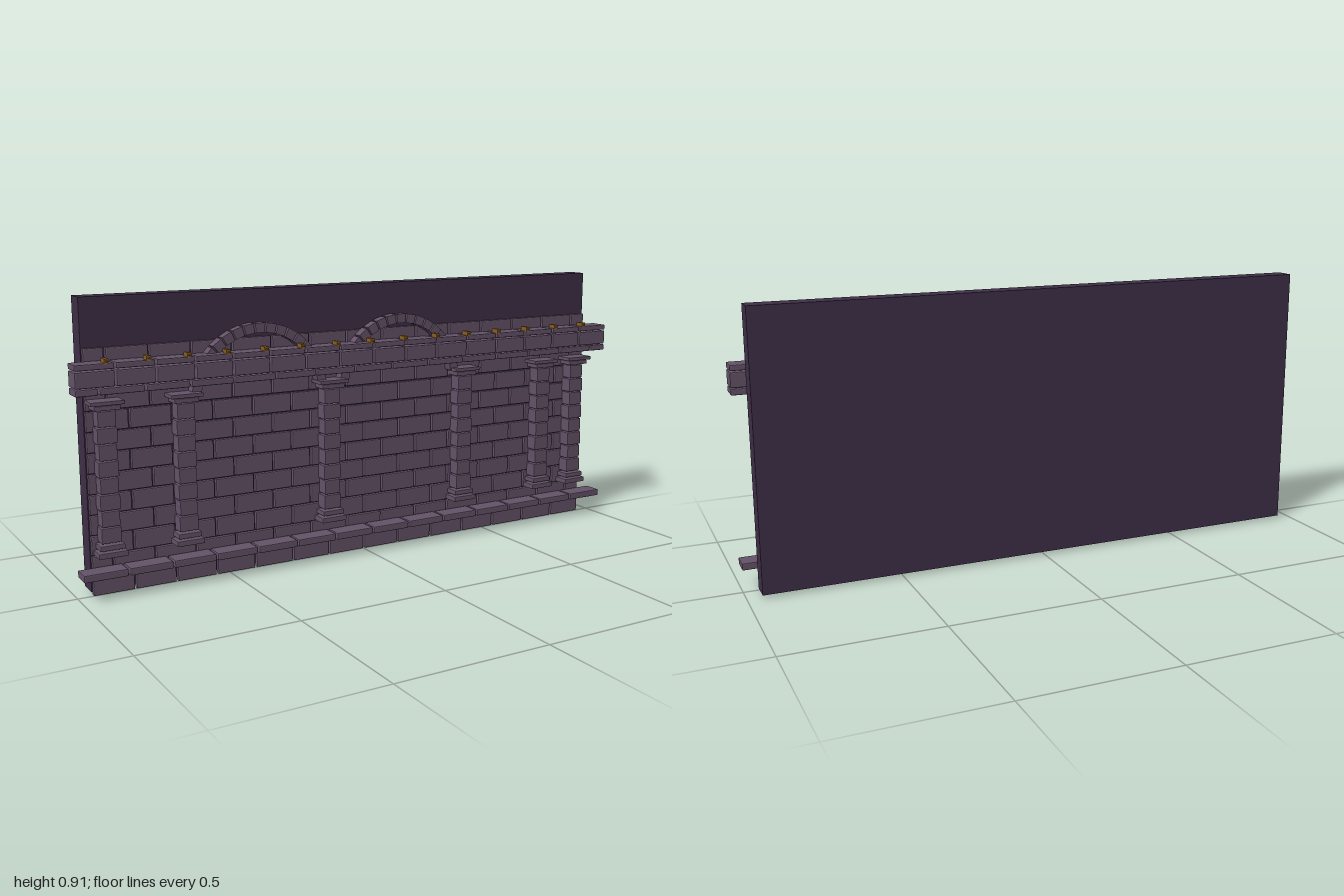
import * as THREE from 'three';
import { RoundedBoxGeometry } from 'three/addons/geometries/RoundedBoxGeometry.js';
import { mergeGeometries } from 'three/addons/utils/BufferGeometryUtils.js';

const mortar = new THREE.MeshStandardMaterial({ name: 'dark mortar', color: 0x3f2f47 });
const stone = new THREE.MeshStandardMaterial({ name: 'purple stone', color: 0x655369 });
const brass = new THREE.MeshStandardMaterial({ name: 'brass', color: 0x8a5f22 });

// Chamfered block given by its extents
function block(x0, x1, y0, y1, z0, z1, chamfer = 0.003) {
  const g = new RoundedBoxGeometry(x1 - x0, y1 - y0, z1 - z0, 1, chamfer).toNonIndexed();
  g.computeVertexNormals();
  return g.translate((x0 + x1) / 2, (y0 + y1) / 2, (z0 + z1) / 2);
}

function part(name, geometries, material) {
  const mesh = new THREE.Mesh(mergeGeometries(geometries), material);
  mesh.name = name;
  return mesh;
}

// Row of blocks between two ends, split at regular joints
function course(xMin, xMax, pitch, shift, y0, y1, z0, z1) {
  const out = [], gap = 0.003;
  for (let a = xMin - shift; a < xMax - 0.02; a += pitch) {
    const l = Math.max(a, xMin), r = Math.min(a + pitch, xMax);
    if (r - l > 0.02) out.push(block(l + gap, r - gap, y0, y1, z0, z1));
  }
  return out;
}

// Square column with stepped foot, stacked shaft and stepped capital
function column(x) {
  const at = (half, y0, y1, z1) => block(x - half, x + half, y0, y1, 0.003, z1, 0.002);
  const out = [at(0.045, 0.13, 0.147, 0.059), at(0.038, 0.152, 0.168, 0.054)];
  for (let i = 0; i < 8; i++) {
    const y = 0.173 + i * 0.0507;
    out.push(at(i % 2 ? 0.028 : 0.031, y, y + 0.047, 0.047));
  }
  out.push(at(0.04, 0.579, 0.593, 0.057), at(0.052, 0.595, 0.607, 0.064));
  return part('column', out, stone);
}

// Ring of wedge stones springing from behind the cornice
function arch(cx) {
  const out = [], count = 17, cy = 0.57, outer = 0.236, inner = 0.205;
  const start = 0.13, step = (Math.PI - 2 * start) / count;
  for (let i = 0; i < count; i++) {
    const a = start + i * step + 0.012, b = start + (i + 1) * step - 0.012;
    const s = new THREE.Shape([[outer, a], [outer, b], [inner, b], [inner, a]]
      .map(([r, t]) => new THREE.Vector2(cx + r * Math.cos(t), cy + r * Math.sin(t))));
    out.push(new THREE.ExtrudeGeometry(s, { depth: 0.033, bevelEnabled: false }).translate(0, 0, 0.005));
  }
  return part('arch', out, stone);
}

export function createModel() {
  const model = new THREE.Group();

  // Backing slab
  const slab = new THREE.BoxGeometry(1.906, 0.898, 0.065).translate(0, 0.459, -0.0425);
  model.add(part('backingSlab', [slab], mortar));

  // Running-bond brick face
  const bricks = [];
  for (let row = 0; row < 12; row++) {
    const y = row * 0.0635;
    bricks.push(...course(-0.953, 0.953, 0.1365, row % 2 ? 0.068 : 0, y, y + 0.0595, -0.014, 0.003));
  }
  model.add(part('brickFace', bricks, stone));

  // Projecting ledge and three-tier cornice
  model.add(part('ledge', course(-1, 1, 0.1429, 0, 0.069, 0.092, 0.006, 0.07), stone));
  model.add(part('cornice', [
    ...course(-1, 1, 0.1429, 0.07, 0.628, 0.648, 0.006, 0.07),
    ...course(-1, 1, 0.125, 0, 0.651, 0.699, 0.006, 0.07),
    ...course(-1, 1, 0.125, 0, 0.703, 0.721, 0.006, 0.07),
  ], stone));

  // Columns and arches
  for (const x of [-0.9, -0.652, -0.144, 0.385, 0.733, 0.888]) model.add(column(x));
  for (const x of [-0.394, 0.126]) model.add(arch(x));

  // Brass studs with a short front tip
  const studs = [];
  for (let i = 0; i < 15; i++) {
    const x = -0.902 + i * 0.1282;
    studs.push(new THREE.BoxGeometry(0.014, 0.015, 0.03).translate(x, 0.7265, 0.056));
    studs.push(new THREE.BoxGeometry(0.005, 0.004, 0.006).translate(x, 0.7265, 0.074));
  }
  model.add(part('studs', studs, brass));
  return model;
}
